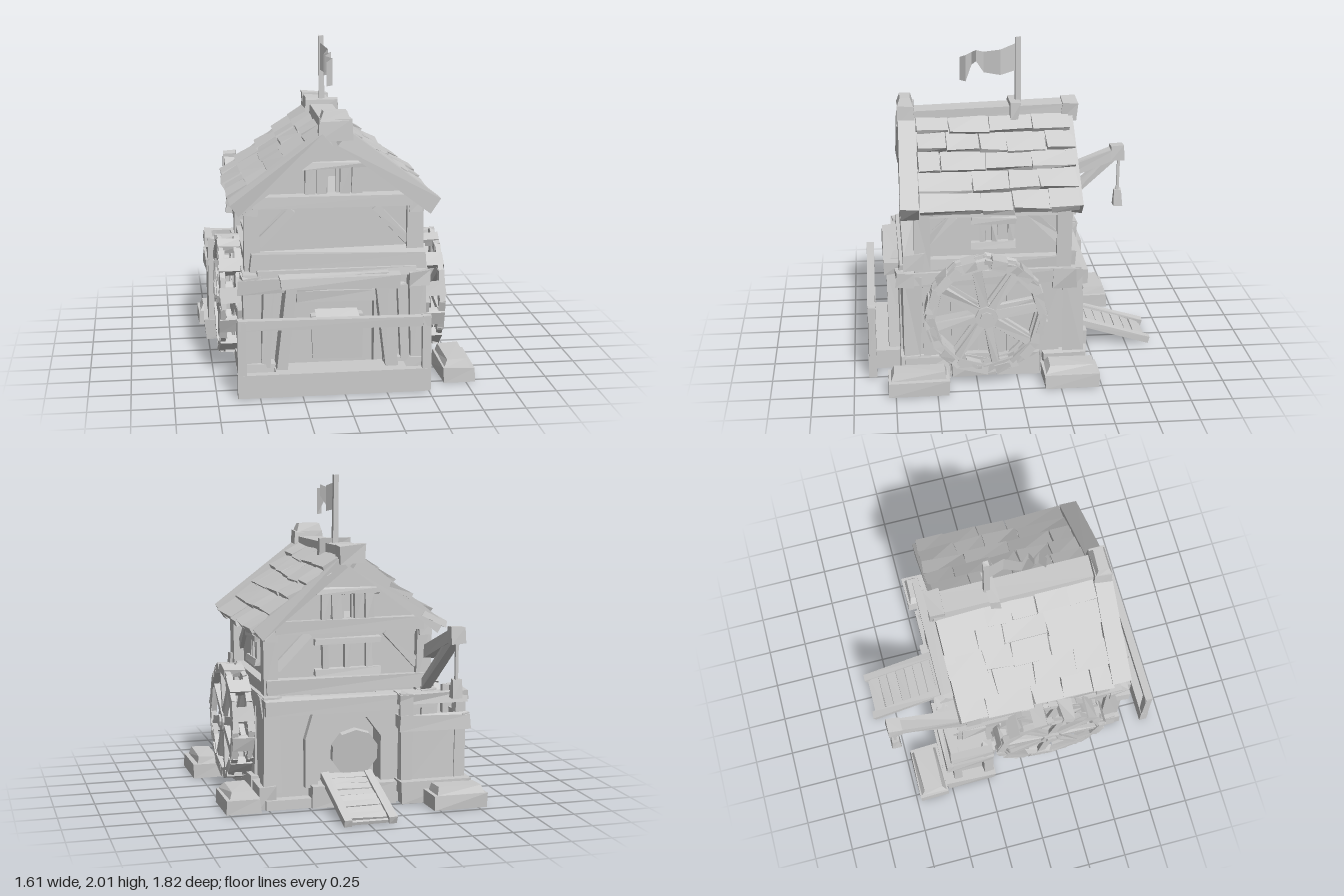
import * as THREE from 'three';

const CX = -0.03; // middle of the house
const V = (x, y, z) => new THREE.Vector3(x, y, z);
const shapeOf = (pts) => new THREE.Shape(pts.map(([x, y]) => new THREE.Vector2(x, y)));

export function createModel() {
  const model = new THREE.Group();
  model.name = 'watermill';
  const mat = new THREE.MeshStandardMaterial({ color: 0xcccccc, flatShading: true, side: THREE.DoubleSide });

  let seed = 7;
  const rnd = () => {
    seed = (seed * 16807) % 2147483647;
    return seed / 2147483647;
  };
  const jit = (a) => (rnd() - 0.5) * 2 * a;

  function add(geo, name, parent = model) {
    const m = new THREE.Mesh(geo, mat);
    m.name = name;
    parent.add(m);
    return m;
  }
  function group(name) {
    const g = new THREE.Group();
    g.name = name;
    model.add(g);
    return g;
  }
  // box with its eight corners nudged for a hand-hewn look; taper pulls in the top
  function hewn(w, h, d, j, taper = 0) {
    const geo = new THREE.BoxGeometry(w, h, d);
    const off = Array.from({ length: 8 }, () => V(jit(j), jit(j), jit(j)));
    const p = geo.attributes.position;
    for (let i = 0; i < p.count; i++) {
      const [x, y, z] = [p.getX(i), p.getY(i), p.getZ(i)];
      const o = off[(x > 0 ? 1 : 0) + (y > 0 ? 2 : 0) + (z > 0 ? 4 : 0)];
      const t = y > 0 ? taper : 0;
      p.setXYZ(i, x - Math.sign(x) * t + o.x, y + o.y, z - Math.sign(z) * t + o.z);
    }
    return geo;
  }
  function block(name, x0, x1, y0, y1, z0, z1, j = 0.008, parent = model, taper = 0) {
    const geo = hewn(x1 - x0, y1 - y0, z1 - z0, j, taper);
    geo.translate((x0 + x1) / 2, (y0 + y1) / 2, (z0 + z1) / 2);
    const p = geo.attributes.position;
    for (let i = 0; i < p.count; i++) if (y0 === 0 && p.getY(i) < 0.03) p.setY(i, 0);
    return add(geo, name, parent);
  }
  // squared timber between two points: w is its horizontal width, h its height
  function beam(name, a, b, w, h, j = 0.006, parent = model) {
    const dir = b.clone().sub(a);
    const geo = hewn(w, h, dir.length(), j);
    dir.normalize();
    const up = Math.abs(dir.y) > 0.98 ? V(0, 0, 1) : V(0, 1, 0);
    const side = up.cross(dir).normalize();
    geo.applyMatrix4(new THREE.Matrix4().makeBasis(side, dir.clone().cross(side), dir));
    const c = a.clone().add(b).multiplyScalar(0.5);
    geo.translate(c.x, c.y, c.z);
    return add(geo, name, parent);
  }

  // ground slab and footing stones
  block('groundSlab', -0.58, 0.52, 0, 0.06, -0.45, 0.7, 0);
  block('porchSlab', -0.4, 0.38, 0, 0.12, 0.66, 0.88, 0);
  block('backStep', -0.3, 0.24, 0, 0.14, -0.48, -0.36);
  for (const s of [-1, 1]) {
    for (let i = 0; i < 4; i++) {
      const z = -0.43 + i * 0.28;
      block('footingStone', CX + s * 0.53 - 0.05, CX + s * 0.53 + 0.05, 0, 0.13 + jit(0.02), z, z + 0.27, 0.012);
    }
    block('frontFooting', CX + s * 0.43 - 0.14, CX + s * 0.43 + 0.14, 0, 0.14, 0.6, 0.72, 0.01);
  }

  // ground floor walls, from a floor plan with door recesses front and back
  const plan = shapeOf([[-0.55, -0.64], [-0.27, -0.64], [-0.27, -0.56], [0.21, -0.56], [0.21, -0.64], [0.48, -0.64],
    [0.48, 0.38], [0.2, 0.38], [0.2, 0.24], [-0.22, 0.24], [-0.22, 0.38], [-0.55, 0.38]]);
  const walls = add(new THREE.ExtrudeGeometry(plan, { depth: 0.62, bevelEnabled: false }), 'lowerWalls');
  walls.rotation.x = -Math.PI / 2;
  walls.position.y = 0.05;
  for (const s of [-1, 1]) {
    const x = CX + s * 0.5;
    for (const z of [0.64, -0.35]) beam('lowerPost', V(x, 0.1, z), V(x, 0.66, z), 0.1, 0.12, 0.01);
    beam('sideSill', V(x, 0.64, -0.4), V(x, 0.64, 0.7), 0.1, 0.09);
    block('backBeamEnd', x - 0.06, x + 0.06, 0.55, 0.68, -0.37, -0.22, 0.01);
    block('frontBeamEnd', x - 0.06, x + 0.06, 0.59, 0.68, 0.62, 0.73, 0.01);
    beam('doorPost', V(CX + s * 0.33, 0.1, 0.72), V(CX + s * 0.27, 0.62, 0.72), 0.07, 0.12);
    beam('doorBrace', V(CX + s * 0.42, 0.12, 0.68), V(CX + s * 0.4, 0.6, 0.68), 0.06, 0.07);
    // planks beside the wheels
    for (let i = 0; i < 5; i++)
      block('sidePlank', x - 0.03, x + 0.035 + jit(0.008), 0.12, 0.6, -0.27 + i * 0.17, -0.11 + i * 0.17, 0.005);
  }
  beam('frontLintel', V(-0.61, 0.62, 0.7), V(0.29, 0.65, 0.71), 0.09, 0.08, 0.01);
  block('porchHeader', -0.37, 0.35, 0.61, 0.69, 0.68, 0.8, 0.012);
  beam('upperLintel', V(-0.53, 0.75, 0.63), V(0.52, 0.75, 0.63), 0.13, 0.1, 0.012);
  block('lintelCap', -0.5, 0.45, 0.66, 0.71, 0.54, 0.71);
  block('frontDoor', -0.16, 0.14, 0.12, 0.4, 0.55, 0.62);
  block('doorHeader', -0.26, 0.22, 0.5, 0.57, 0.56, 0.7);
  beam('doorAwning', V(-0.01, 0.41, 0.57), V(-0.01, 0.36, 0.72), 0.26, 0.03);

  // arched doorway at the back
  const arch = shapeOf([[-0.28, 0], [0.28, 0], [0.28, 0.3], [0.22, 0.5], [-0.22, 0.5], [-0.28, 0.3]]);
  arch.holes.push(shapeOf([[-0.2, 0.01], [-0.2, 0.3], [-0.11, 0.42], [0.11, 0.42], [0.2, 0.3], [0.2, 0.01]]));
  add(new THREE.ExtrudeGeometry(arch, { depth: 0.06, bevelEnabled: false }), 'backDoorArch').position.set(-0.01, 0.12, -0.43);
  const disc = add(new THREE.CylinderGeometry(0.15, 0.15, 0.045, 10), 'roundBackDoor');
  disc.rotation.x = Math.PI / 2 - 0.15;
  disc.position.set(-0.05, 0.32, -0.39);
  beam('backLintel', V(-0.58, 0.63, -0.4), V(0.52, 0.63, -0.4), 0.09, 0.09, 0.01);

  // upper floor with timber frame
  block('upperWalls', -0.5, 0.44, 0.66, 1.06, -0.28, 0.54, 0);
  for (const s of [-1, 1]) {
    const x = CX + s * 0.49;
    for (const z of [0.57, -0.29]) {
      const e = z > 0 ? 1 : -1;
      beam('upperPost', V(x, 0.68, z), V(x, 1.1, z), 0.09, 0.09, 0.008);
      beam('gableBrace', V(CX + s * 0.45, 0.84, z), V(CX + s * 0.25, 1.05, z), 0.05, 0.05);
      beam('sideBrace', V(x - s * 0.01, 0.86, z - e * 0.03), V(x - s * 0.01, 1.02, z - e * 0.2), 0.04, 0.05);
    }
    beam('wallPlate', V(x, 1.06, -0.36), V(x, 1.06, 0.62), 0.08, 0.08);
    beam('lowerRail', V(x, 0.72, -0.32), V(x, 0.72, 0.6), 0.07, 0.07);
    // side window
    const wx = CX + s * 0.48;
    for (const y of [0.83, 0.985]) beam('windowRail', V(wx, y, 0), V(wx, y, 0.27), 0.06, 0.04);
    for (const z of [0.03, 0.13, 0.2]) beam('windowBar', V(wx, 0.83, z), V(wx, 0.98, z), 0.04, 0.04);
  }
  beam('frontTieBeam', V(-0.51, 1.1, 0.6), V(0.44, 1.1, 0.6), 0.08, 0.075);
  beam('backTieBeam', V(-0.51, 1.1, -0.33), V(0.44, 1.1, -0.33), 0.07, 0.075);
  beam('backRail', V(-0.55, 0.74, -0.33), V(0.49, 0.74, -0.33), 0.07, 0.09);
  for (const x of [-0.17, -0.03, 0.11]) beam('backWindowBar', V(x, 0.8, -0.29), V(x, 1.0, -0.29), 0.04, 0.05);
  for (const y of [0.81, 1.0]) beam('backWindowRail', V(-0.24, y, -0.3), V(0.18, y, -0.3), 0.06, 0.04);

  // gables, open at a narrow slot
  const gable = shapeOf([[-0.5, 1.04], [0.5, 1.04], [0.5, 1.12], [0, 1.5], [-0.5, 1.12]]);
  gable.holes.push(shapeOf([[-0.03, 1.14], [-0.03, 1.3], [0.02, 1.3], [0.02, 1.14]]));
  for (const z of [0.52, -0.3]) {
    add(new THREE.ExtrudeGeometry(gable, { depth: 0.04, bevelEnabled: false }), 'gableWall').position.set(CX, 0, z);
    const zf = z > 0 ? 0.575 : -0.315;
    for (const x of [-0.17, -0.1, 0.04, 0.11])
      block('gablePlank', CX + x, CX + x + 0.06, 1.12, 1.3, zf - 0.015, zf + 0.015, 0.005);
    block('gableHeader', CX - 0.2, CX + 0.2, 1.29, 1.33, zf - 0.02, zf + 0.02);
  }

  // roof: deck, rows of wide uneven shingles, verge boards and ridge
  const roof = group('roof');
  for (const s of [-1, 1]) {
    const P = (t, lift, z) => V(CX + s * (0.03 + 0.56 * t + lift * 0.6), 1.52 - 0.45 * t + lift * 0.75, z);
    beam('roofDeck', P(0, -0.015, 0.1), P(0.98, -0.015, 0.1), 0.94, 0.03, 0, roof);
    for (let r = 4; r >= 0; r--) {
      let z = -0.38 + jit(0.012);
      while (z < 0.56) {
        let w = 0.15 + rnd() * 0.14;
        if (z + w > 0.46) w = 0.58 - z;
        const t1 = (r + 1) / 5 + 0.015 + jit(0.015);
        beam('shingle', P(r / 5 - 0.02, 0.003, z + w / 2), P(t1, 0.03, z + w / 2), w - 0.003, 0.038, 0.009, roof);
        z += w;
      }
    }
    beam('frontVerge', V(CX + s * 0.05, 1.485, 0.64), V(CX + s * 0.595, 1.07, 0.64), 0.11, 0.095, 0.008, roof);
    beam('backVerge', V(CX + s * 0.04, 1.485, -0.36), V(CX + s * 0.58, 1.07, -0.36), 0.06, 0.08, 0.008, roof);
  }
  beam('ridgeBeam', V(CX, 1.515, 0.6), V(CX, 1.55, -0.41), 0.15, 0.09, 0.01, roof);
  block('ridgeBackEnd', CX - 0.085, CX + 0.085, 1.49, 1.6, -0.43, -0.33, 0.012, roof);
  block('ridgeFrontCap', CX - 0.1, CX + 0.105, 1.47, 1.6, 0.58, 0.7, 0.006, roof, 0.01);
  block('ridgeCapTop', CX - 0.09, CX + 0.09, 1.59, 1.65, 0.59, 0.69, 0.004, roof, 0.02);

  // flag on the ridge
  beam('flagPole', V(-0.02, 1.5, -0.06), V(-0.025, 2, -0.06), 0.036, 0.036, 0.004);
  block('flagFoot', -0.13, 0.08, 1.5, 1.6, -0.06, 0, 0.012);
  const edge = [[-0.05, 1.96, 1.79], [0.05, 1.93, 1.77], [0.15, 1.91, 1.78], [0.2, 1.93, 1.86], [0.225, 1.91, 1.83], [0.265, 1.9, 1.735], [0.3, 1.88, 1.735]];
  const flag = new THREE.PlaneGeometry(1, 1, edge.length - 1, 1);
  edge.forEach(([z, top, low], i) => {
    const x = -0.02 + (i % 2 ? 0.025 : -0.015);
    flag.attributes.position.setXYZ(i, x, top, z);
    flag.attributes.position.setXYZ(i + edge.length, x, low, z);
  });
  add(flag, 'flag');

  // water wheels
  for (const s of [-1, 1]) {
    const wheel = group(s > 0 ? 'leftWaterWheel' : 'rightWaterWheel');
    wheel.position.set(s > 0 ? 0.595 : -0.64, 0.435, 0.195);
    const at = (x, r, a) => V(x, Math.sin(a) * r, Math.cos(a) * r);
    const step = Math.PI / 6;
    for (let i = 0; i < 12; i++) {
      const a = i * step;
      for (const x of [-0.05, 0.05])
        beam('rimPiece', at(x, 0.345, a - 0.03), at(x, 0.345, a + step + 0.03), 0.035, 0.055, 0.006, wheel);
      beam('paddle', at(0, 0.345, a + 0.1), at(0, 0.345, a + 0.36), 0.14, 0.05, 0.006, wheel);
    }
    for (let i = 0; i < 8; i++)
      for (const x of [-0.045, 0.045])
        beam('spoke', at(x, 0.03, i * Math.PI / 4 + 0.6), at(x, 0.34, i * Math.PI / 4 + 0.6), 0.03, 0.05, 0.006, wheel);
    add(new THREE.CylinderGeometry(0.07, 0.07, 0.145, 8).rotateZ(Math.PI / 2), 'hub', wheel);
    add(new THREE.CylinderGeometry(0.04, 0.04, 0.22, 8).rotateZ(Math.PI / 2), 'axle', wheel).position.x = -s * 0.025;
  }

  // front fence
  block('fenceBoard', -0.63, 0.51, 0, 0.14, 0.86, 0.91, 0);
  beam('fenceRail', V(-0.63, 0.44, 0.885), V(0.51, 0.43, 0.885), 0.045, 0.06, 0.003);
  for (const x of [-0.605, 0.485]) block('fencePost', x - 0.025, x + 0.025, 0.13, 0.46, 0.862, 0.908, 0.003);

  // back ramp
  for (const x of [-0.14, 0.135]) beam('rampRail', V(x, 0.18, -0.38), V(x, 0.02, -0.9), 0.05, 0.045, 0.003);
  beam('rampBed', V(0, 0.165, -0.38), V(0, 0.01, -0.88), 0.25, 0.02, 0);
  for (let i = 0; i < 8; i++) {
    const z = -0.38 - i * 0.061;
    const y = 0.18 - i * 0.019;
    beam('rampPlank', V(0, y, z), V(0, y - 0.018, z - 0.058), 0.23, 0.02, 0.004);
  }

  // loading platform in the back corner
  const dock = group('loadingPlatform');
  block('dockFooting', -0.77, -0.32, 0, 0.14, -0.53, -0.2, 0.01, dock);
  block('dockWalls', -0.7, -0.36, 0.1, 0.5, -0.47, -0.22, 0.004, dock);
  for (const x of [-0.71, -0.36])
    for (const z of [-0.45, -0.24]) beam('dockPost', V(x, 0.12, z), V(x, 0.68, z), 0.07, 0.06, 0.008, dock);
  for (const [y, h, z] of [[0.5, 0.09, -0.495], [0.65, 0.06, -0.46]]) {
    beam('dockRail', V(-0.76, y, z), V(-0.31, y, z), 0.05, h, 0.008, dock);
    beam('dockRail', V(-0.735, y, z - 0.02), V(-0.735, y, -0.21), 0.05, h, 0.008, dock);
    beam('dockRail', V(-0.34, y, z), V(-0.34, y, -0.36), 0.05, h, 0.008, dock);
  }

  // crane
  const crane = group('crane');
  beam('craneArm', V(-0.56, 0.9, -0.3), V(-0.56, 1.1, -0.82), 0.075, 0.075, 0.006, crane);
  beam('craneStrut', V(-0.52, 0.7, -0.34), V(-0.56, 1.06, -0.76), 0.06, 0.06, 0.006, crane);
  block('craneHead', -0.605, -0.52, 1.04, 1.135, -0.83, -0.74, 0.006, crane);
  beam('rope', V(-0.56, 1.04, -0.8), V(-0.56, 0.8, -0.795), 0.018, 0.018, 0, crane);
  block('counterweight', -0.59, -0.53, 0.71, 0.82, -0.825, -0.765, 0.004, crane, 0.006);

  // loose stepped stones around the house
  for (const [x0, x1, z0, z1] of [[0.56, 0.77, -0.48, -0.15], [0.61, 0.8, 0.43, 0.79], [-0.8, -0.46, -0.72, -0.53]]) {
    block('stoneBase', x0, x1, 0, 0.09, z0, z1, 0.006);
    block('stoneTop', x0 + 0.01, x1 - 0.02, 0.085, 0.135, z0 + 0.01, z1 - 0.01, 0.008, model, 0.02);
  }
  return model;
}
